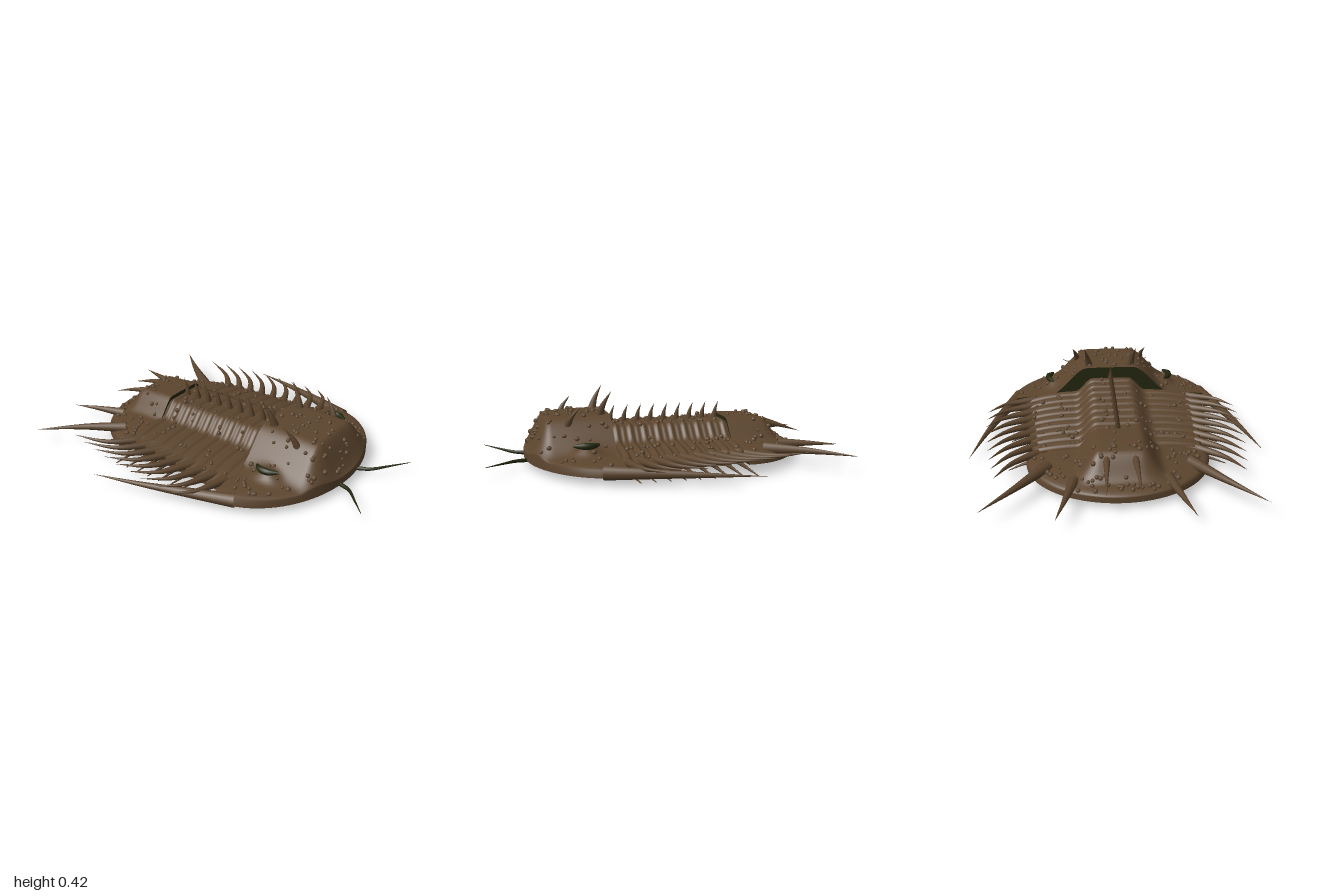
import * as THREE from 'three';
import { mergeGeometries } from 'three/addons/utils/BufferGeometryUtils.js';

const SEGMENTS = 9, PITCH = 0.079, FIRST_Z = 0.27;
const step = t => THREE.MathUtils.smoothstep(t, 0, 1);
const dome = (x, z, a, b) => Math.sqrt(Math.max(0, 1 - (x / a) ** 2 - (z / b) ** 2));

// Each body shield: z range, half width at z, and height at (x, z)
const head = {
  z0: 0.775, z1: 0.31, base: 0.04, round: 'front',
  width: z => 0.615 * dome(0, z - 0.31, 1, 0.465),
  height: (x, z) => 0.08 + 0.04 * dome(x, z - 0.31, 0.615, 0.465)
    + 0.17 * step((0.38 - Math.abs(x)) / 0.24) * step((0.775 - z) / 0.13)
    + 0.045 * Math.exp(-((Math.abs(x) - 0.365) ** 2) / 0.0016 - ((z - 0.47) ** 2) / 0.005),
};
const thorax = {
  z0: 0.33, z1: -0.395, base: 0.045, round: '',
  width: z => 0.5 + 0.11 * (z + 0.045),
  height: (x, z) => {
    const phase = (FIRST_Z - z) / PITCH;
    return 0.074 + 0.06 * (1 - (x / 0.55) ** 4) + 0.085 * step((0.22 - Math.abs(x)) / 0.11)
      + 0.004 * Math.cos(phase * Math.PI * 4) + 0.004 * Math.cos(phase * Math.PI * 2);
  },
};
const tail = {
  z0: -0.385, z1: -0.8, base: 0.04, round: 'back',
  width: z => 0.5 * dome(0, z + 0.385, 1, 0.415),
  height: (x, z) => 0.07 + 0.055 * dome(x, z + 0.385, 0.5, 0.415)
    + 0.113 * step((0.24 - Math.abs(x)) / 0.13) * step((z + 0.73) / 0.13),
};

// Regular grid surface from a rule fn(u, v) -> [x, y, z]
function grid(nu, nv, fn) {
  const pos = [], idx = [];
  for (let j = 0; j <= nv; j++) for (let i = 0; i <= nu; i++) pos.push(...fn(i / nu, j / nv));
  for (let j = 0; j < nv; j++) for (let i = 0; i < nu; i++) {
    const a = j * (nu + 1) + i, b = a + 1, c = a + nu + 1, d = c + 1;
    idx.push(a, b, d, a, d, c);
  }
  const g = new THREE.BufferGeometry();
  g.setAttribute('position', new THREE.Float32BufferAttribute(pos, 3));
  g.setIndex(idx);
  g.computeVertexNormals();
  return g;
}

// Row position along a shield, denser towards its rounded end
function zAt(s, v) {
  const t = s.round === 'front' ? 1 - Math.cos(v * Math.PI / 2)
    : s.round === 'back' ? Math.sin(v * Math.PI / 2) : v;
  return THREE.MathUtils.lerp(s.z0, s.z1, t);
}

// Upper skin with a short skirt at the rim
function skin(s, rows) {
  const cols = 64;
  return grid(cols, rows, (u, v) => {
    const z = zAt(s, v), i = Math.round(u * cols);
    const x = THREE.MathUtils.clamp((i - 1) / (cols - 2) * 2 - 1, -1, 1) * s.width(z);
    return [x, i === 0 || i === cols ? s.base : s.height(x, z), z];
  });
}

// Underside, optionally ribbed
function belly(s, rows, ribs = 0) {
  return grid(16, rows, (u, v) => {
    const z = zAt(s, v);
    return [(1 - 2 * u) * s.width(z), s.base + ribs * Math.cos((FIRST_Z - z) / PITCH * Math.PI * 2), z];
  });
}

// Upright wall closing the open end of a shield
function wall(s, z, facing) {
  return grid(64, 1, (u, v) => {
    const x = (u * 2 - 1) * s.width(z) * facing;
    return [x, v ? s.height(x, z) : s.base, z];
  });
}

// Tube through points, its radius shaped by a profile along its length
function taper(points, r, profile = t => 1 - t, length = 10, sides = 8) {
  const curve = new THREE.CatmullRomCurve3(points.map(p => new THREE.Vector3(...p)));
  const g = new THREE.TubeGeometry(curve, length, r, sides);
  const p = g.attributes.position, v = new THREE.Vector3();
  for (let i = 0; i < p.count; i++) {
    const t = Math.floor(i / (sides + 1)) / length, c = curve.getPointAt(t);
    v.fromBufferAttribute(p, i).sub(c).multiplyScalar(profile(t)).add(c);
    p.setXYZ(i, v.x, v.y, v.z);
  }
  return g;
}

export function createModel() {
  const model = new THREE.Group();
  const material = (name, color) => {
    const m = new THREE.MeshStandardMaterial({ color, side: THREE.DoubleSide });
    m.name = name;
    return m;
  };
  const shell = material('shell brown', 0x5c452e);
  const dark = material('dark green', 0x23270f);
  const add = (name, geometry, mat = shell) => {
    const mesh = new THREE.Mesh(geometry, mat);
    mesh.name = name;
    model.add(mesh);
  };
  // Same part on both sides
  const pair = (name, points, r, mat, profile, length) => {
    for (const s of [1, -1]) {
      add((s > 0 ? 'left' : 'right') + name,
        taper(points.map(([x, y, z]) => [s * x, y, z]), r, profile, length), mat);
    }
  };

  // Body shields
  add('headShield', skin(head, 48));
  add('headUnderside', belly(head, 24));
  add('headRearWall', wall(head, head.z1, -1), dark);
  add('thorax', skin(thorax, 144));
  add('thoraxUnderside', belly(thorax, 108, 0.005));
  add('tailShield', skin(tail, 48));
  add('tailUnderside', belly(tail, 24));
  add('tailFrontWall', wall(tail, tail.z0, 1), dark);

  // Spines and legs of every body segment
  for (let i = 0; i < SEGMENTS; i++) {
    const z = FIRST_Z - i * PITCH, k = i / (SEGMENTS - 1);
    const w = thorax.width(z), tx = 0.755 - 0.1 * k * k, tz = 0.13 - 0.1 * i;
    pair('SideSpine', [
      [w - 0.06, 0.09, z + 0.02],
      [(w + tx) / 2 + 0.01, 0.09 + 0.01 * k, (z + tz) / 2 + 0.03],
      [tx, 0.09 + 0.035 * k, tz],
    ], 0.027, shell);
    add('backSpine', taper([[0, 0.2, z + 0.012], [0, 0.265, z + 0.004], [0, 0.32, z - 0.016]], 0.022));
    pair('Leg', [[0.38, 0.036, z], [0.5, 0.028, z - 0.005], [0.6, 0.004, z - 0.035]], 0.016, shell,
      t => 1 - 0.85 * t);
  }

  // Head: long cheek spines, horns, eyes and feelers
  pair('CheekSpine', [[0.575, 0.062, 0.42], [0.655, 0.064, 0.2], [0.74, 0.062, -0.06], [0.817, 0.057, -0.355]],
    0.038, shell, t => 1 - t, 20);
  pair('RearHorn', [[0.125, 0.26, 0.37], [0.14, 0.34, 0.345], [0.157, 0.42, 0.3]], 0.028, shell);
  pair('FrontHorn', [[0.192, 0.22, 0.56], [0.21, 0.29, 0.53], [0.23, 0.35, 0.48]], 0.025, shell);
  pair('Eye', [[0.355, 0.163, 0.405], [0.383, 0.163, 0.44], [0.388, 0.163, 0.485], [0.36, 0.16, 0.54]],
    0.019, dark, t => 0.35 + 0.65 * Math.sin(t * Math.PI), 16);
  pair('Feeler', [[0.07, 0.042, 0.7], [0.1, 0.043, 0.77], [0.125, 0.046, 0.83], [0.21, 0.053, 0.91], [0.3, 0.06, 0.99]],
    0.014, dark, t => 1 - 0.9 * t, 16);

  // Tail spines
  pair('OuterTailSpine', [[0.38, 0.1, -0.52], [0.53, 0.105, -0.72], [0.71, 0.1, -0.925]], 0.034, shell);
  pair('MiddleTailSpine', [[0.245, 0.095, -0.66], [0.29, 0.095, -0.83], [0.34, 0.09, -1]], 0.03, shell);
  pair('InnerTailSpine', [[0.07, 0.205, -0.55], [0.078, 0.18, -0.7], [0.088, 0.13, -0.87]], 0.026, shell);

  // Scattered warts
  let seed = 17;
  const random = () => (seed = (seed * 16807) % 2147483647) / 2147483647;
  for (const [name, s, count] of [['headWarts', head, 95], ['thoraxWarts', thorax, 75], ['tailWarts', tail, 75]]) {
    const warts = [];
    for (let i = 0; i < count; i++) {
      const z = THREE.MathUtils.lerp(s.z0, s.z1, 0.06 + 0.88 * random());
      const x = (random() * 2 - 1) * 0.93 * s.width(z), r = 0.008 + 0.007 * random();
      warts.push(new THREE.SphereGeometry(r, 8, 6).translate(x, s.height(x, z) + 0.002, z));
    }
    add(name, mergeGeometries(warts));
  }
  return model;
}
